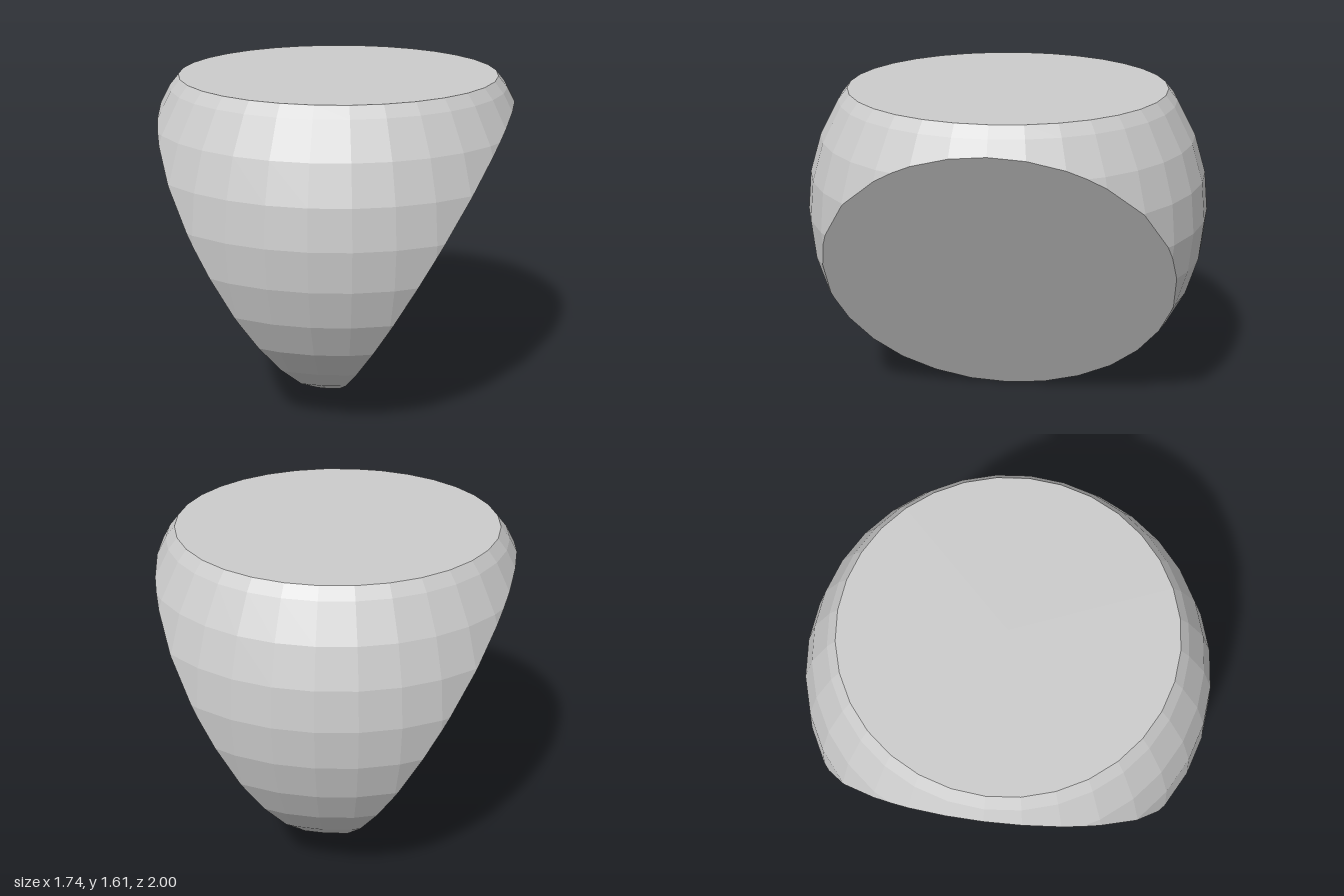
import * as THREE from 'three';

const CENTER = new THREE.Vector3(0, 1, 0);
const RINGS = 16, SEGMENTS = 32;

// Point on the faceted unit ball
function ballPoint(i, j) {
  return new THREE.Vector3().setFromSphericalCoords(1, (i * Math.PI) / RINGS, (j * 2 * Math.PI) / SEGMENTS);
}

// Keep the part of a convex polygon behind a plane; store the crossing points
function clip(polygon, cut) {
  const kept = [];
  polygon.forEach((a, k) => {
    const b = polygon[(k + 1) % polygon.length];
    const da = a.dot(cut.normal) - cut.distance;
    const db = b.dot(cut.normal) - cut.distance;
    if (da <= 0) kept.push(a);
    if (da * db < 0) {
      const p = a.clone().lerp(b, da / (da - db));
      kept.push(p);
      cut.rim.push(p);
    }
  });
  return kept;
}

// Flat-shaded mesh from a list of triangle corners
function facetedMesh(name, points) {
  const geometry = new THREE.BufferGeometry().setFromPoints(points);
  geometry.computeVertexNormals();
  const mesh = new THREE.Mesh(geometry, new THREE.MeshStandardMaterial({ color: 0xcccccc, flatShading: true }));
  mesh.name = name;
  mesh.position.copy(CENTER);
  return mesh;
}

// Flat disc that closes one cut, fanned around its middle
function capMesh({ name, normal, distance, rim }) {
  const u = new THREE.Vector3(0, 0, 1);
  if (Math.abs(normal.z) > 0.9) u.set(1, 0, 0);
  u.cross(normal).normalize();
  const v = normal.clone().cross(u);
  const middle = normal.clone().multiplyScalar(distance);
  const angle = (p) => Math.atan2(p.dot(v), p.dot(u));
  const sorted = [...rim].sort((a, b) => angle(a) - angle(b));
  const points = sorted.flatMap((p, k) => [middle, p, sorted[(k + 1) % sorted.length]]);
  return facetedMesh(name, points);
}

export function createModel() {
  const group = new THREE.Group();
  group.name = 'cutBall';

  // One level cut on top, two mirrored slanting cuts meeting near the bottom
  const slant = Math.PI / 6;
  const cuts = [
    { name: 'topFace', normal: new THREE.Vector3(0, 1, 0), distance: 0.61, rim: [] },
    ...[1, -1].map((side) => ({
      name: side > 0 ? 'leftFace' : 'rightFace',
      normal: new THREE.Vector3(side * Math.cos(slant), -Math.sin(slant), 0),
      distance: 0.51,
      rim: [],
    })),
  ];

  // Curved surface: every facet of the ball trimmed by the three cuts
  const shell = [];
  for (let i = 0; i < RINGS; i++) {
    for (let j = 0; j < SEGMENTS; j++) {
      let facet = [ballPoint(i, j), ballPoint(i + 1, j)];
      if (i < RINGS - 1) facet.push(ballPoint(i + 1, j + 1));
      if (i > 0) facet.push(ballPoint(i, j + 1));
      for (const cut of cuts) facet = clip(facet, cut);
      for (let k = 1; k + 1 < facet.length; k++) shell.push(facet[0], facet[k], facet[k + 1]);
    }
  }
  group.add(facetedMesh('roundedBody', shell));

  // Flat faces
  for (const cut of cuts) group.add(capMesh(cut));
  return group;
}
